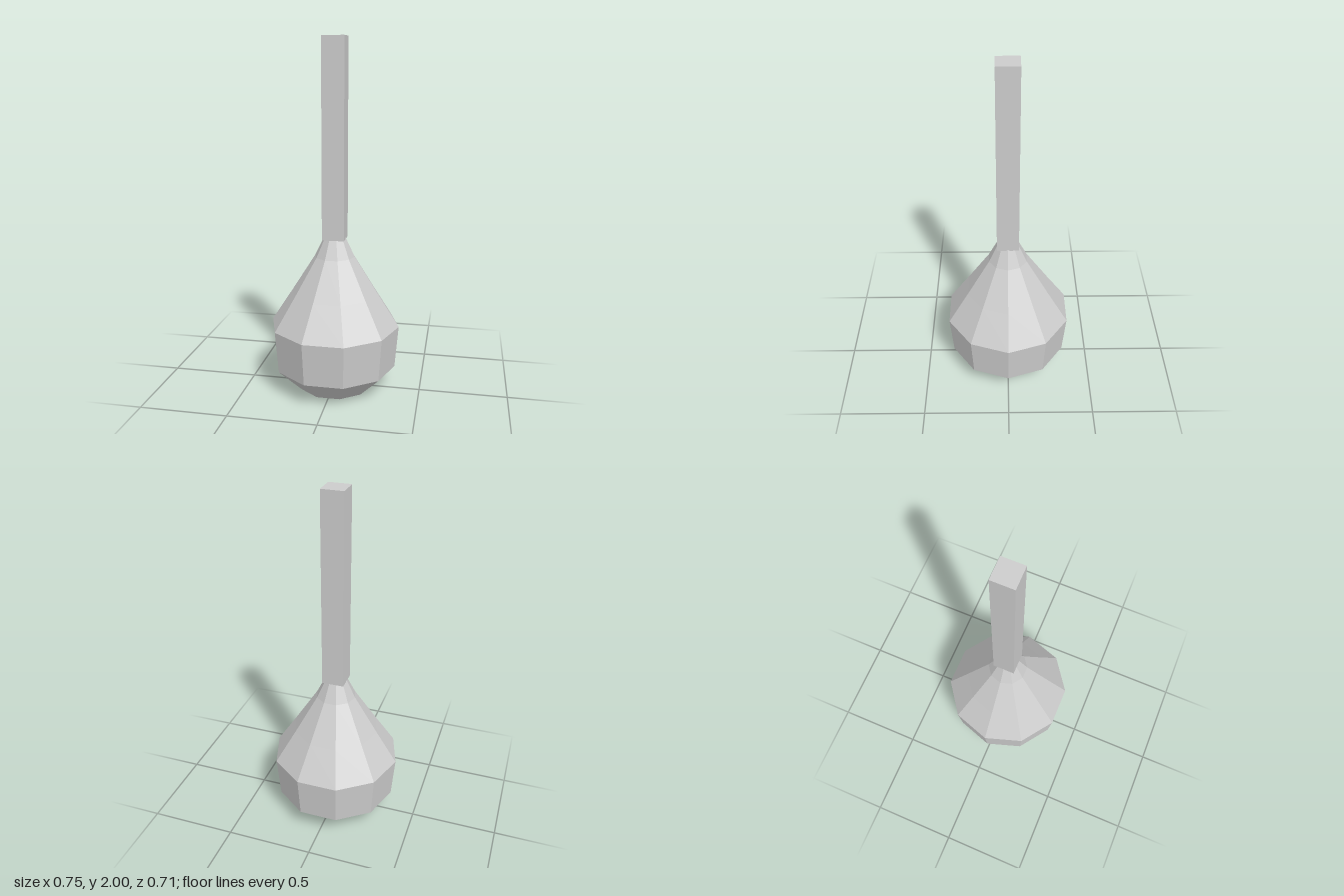
import * as THREE from 'three';

export function createModel() {
  const group = new THREE.Group();
  const grey = new THREE.MeshStandardMaterial({ color: 0xcccccc, flatShading: true });
  grey.name = 'grey';

  // Ten-sided bulb, from the flat base up to the neck inside the shaft
  const profile = [
    [0, 0], [0.213, 0], [0.353, 0.135], [0.373, 0.38],
    [0.25, 0.57], [0.115, 0.785], [0.06, 0.9], [0, 0.9],
  ].map(([r, y]) => new THREE.Vector2(r, y));
  const bulb = new THREE.Mesh(new THREE.LatheGeometry(profile, 10, Math.PI / 2), grey);
  bulb.name = 'bulb';
  group.add(bulb);

  // Square shaft
  const bottom = 0.888;
  const height = 2 - bottom;
  const shaft = new THREE.Mesh(new THREE.BoxGeometry(0.125, height, 0.125), grey);
  shaft.name = 'shaft';
  shaft.position.y = bottom + height / 2;
  group.add(shaft);

  return group;
}
